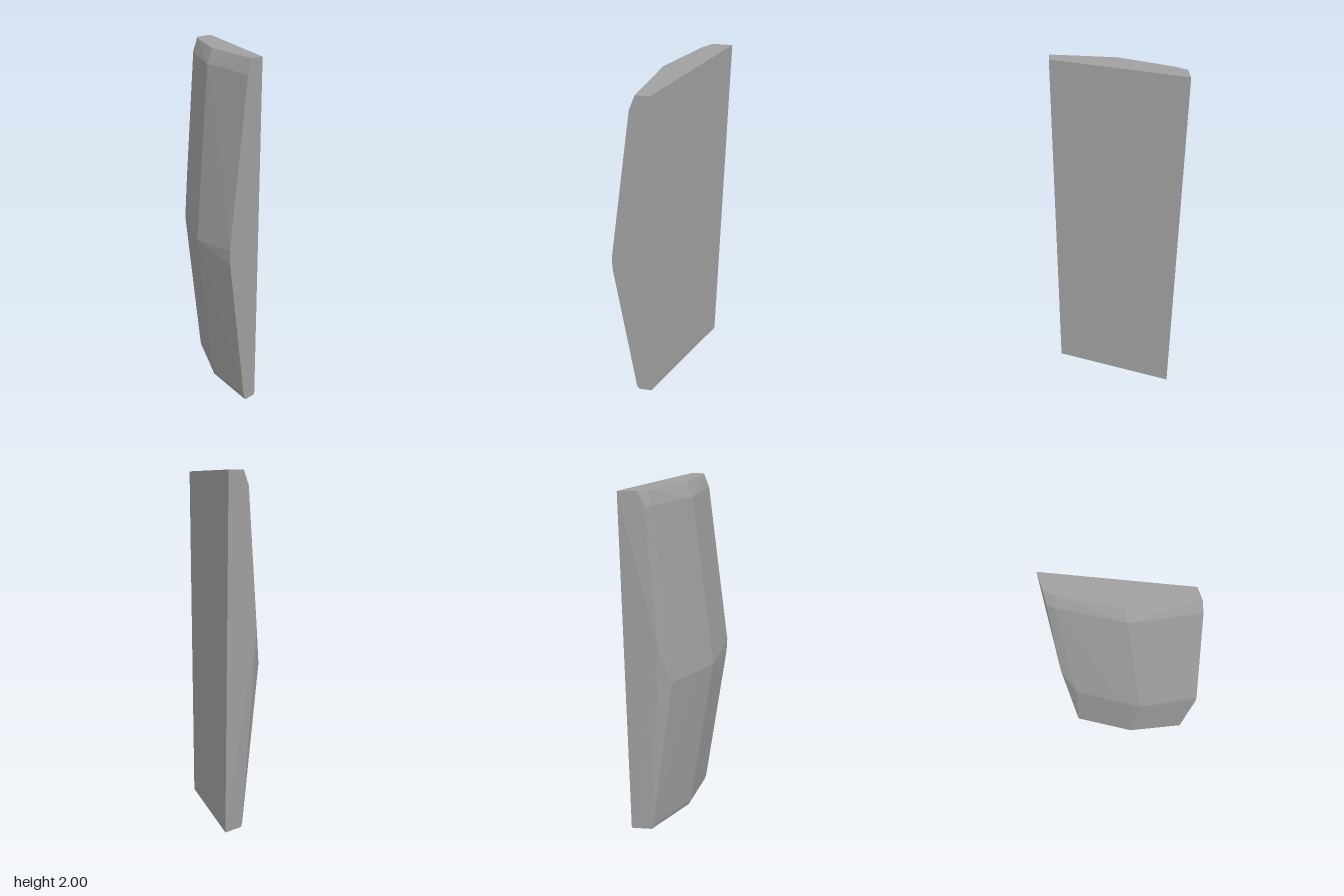
import * as THREE from 'three';
import { ConvexGeometry } from 'three/addons/geometries/ConvexGeometry.js';

// Horizontal cross-sections of the faceted slab: height, then [x, z, optional height] corners
const sections = [
  // bottom face
  [0, [[-0.06, 0.354], [0.24, -0.295], [0.12, -0.295], [-0.068, 0.02], [-0.138, 0.354]]],
  // lower chamfer
  [0.03, [[0.112, -0.295], [-0.08, 0.02], [-0.15, 0.354]]],
  // widest belt
  [0.94, [[-0.005, -0.295], [-0.15, -0.07], [-0.208, 0.03], [-0.271, 0.354, 0.99],
    [-0.268, 0.354, 0.91], [0.065, -0.354, 1.15]]],
  // upper chamfer
  [1.92, [[0.13, -0.354], [0.1, -0.32], [-0.085, -0.01], [-0.095, 0.05], [-0.146, 0.354]]],
  // top face
  [2, [[-0.04, 0.354], [0.271, -0.354], [0.165, -0.354], [0.115, -0.295], [-0.045, -0.01],
    [-0.115, 0.354]]],
];

export function createModel() {
  const group = new THREE.Group();
  group.name = 'facetedSlab';

  const grey = new THREE.MeshStandardMaterial({ color: 0xa0a0a0, flatShading: true });
  grey.name = 'grey';

  // Convex body: flat inner panel, chamfered and bulging outer side
  const corners = sections.flatMap(([level, ring]) =>
    ring.map(([x, z, y = level]) => new THREE.Vector3(x, y, z)));
  const slab = new THREE.Mesh(new ConvexGeometry(corners), grey);
  slab.name = 'slab';
  group.add(slab);

  return group;
}
